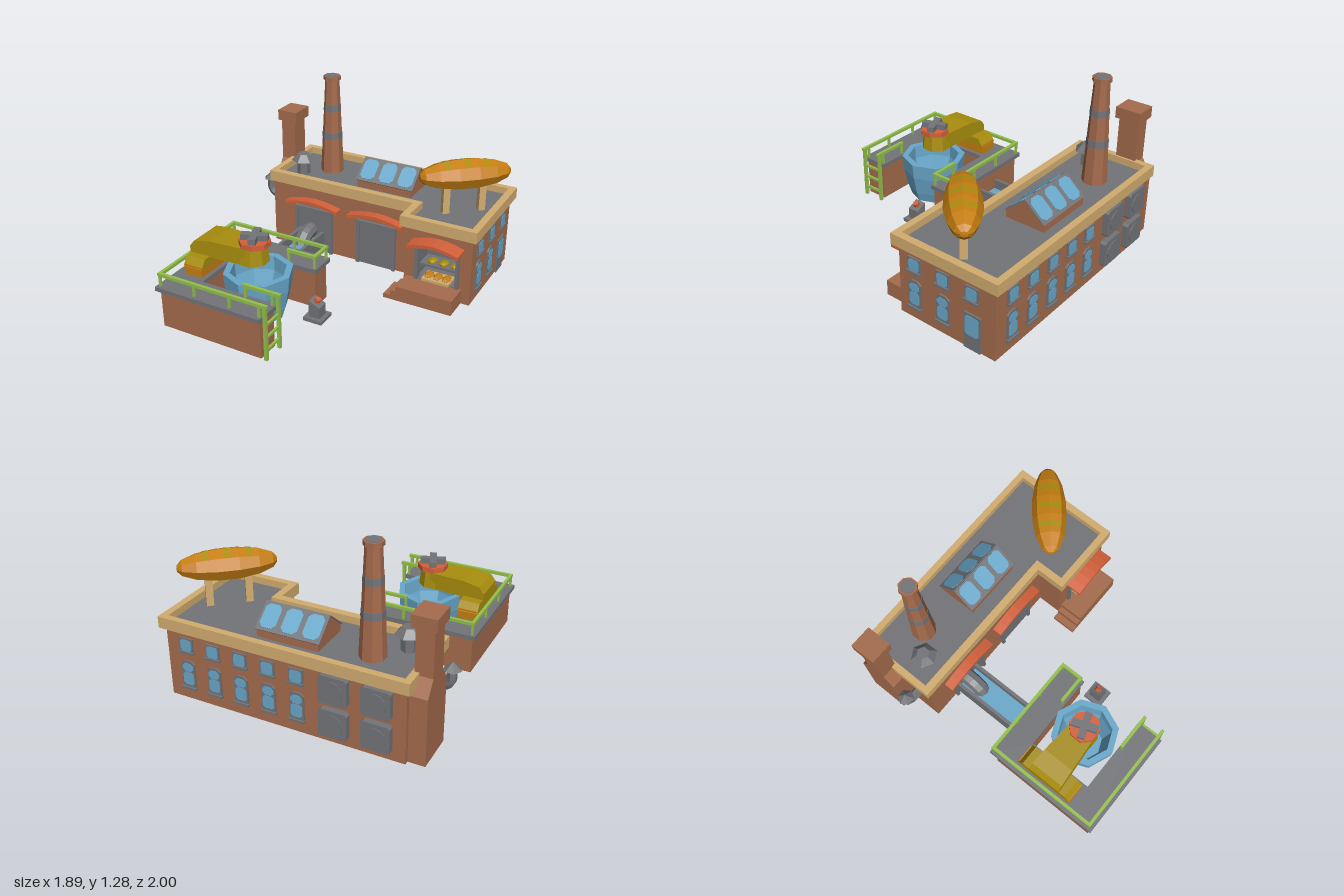
import * as THREE from 'three';

const M = {};
for (const [name, color] of Object.entries({
  brick: 0xa56b4c, grey: 0x737478, tan: 0xd3ad70, orange: 0xd4613a,
  blue: 0x69a8cb, olive: 0xa88e0e, gold: 0xc67f12, green: 0x94c04c,
})) M[name] = Object.assign(new THREE.MeshStandardMaterial({ color, flatShading: true, side: THREE.DoubleSide }), { name });

const rect = (x0, y0, x1, y1) => [[x0, y0], [x1, y0], [x1, y1], [x0, y1]];
const toShape = pts => new THREE.Shape(pts.map(p => new THREE.Vector2(...p)));

function add(parent, name, geo, mat, x = 0, y = 0, z = 0, ry = 0) {
  const m = new THREE.Mesh(geo, M[mat]);
  m.name = name;
  m.position.set(x, y, z);
  m.rotation.y = ry;
  parent.add(m);
  return m;
}
// Box given by its min and max corners
function box(parent, name, mat, x0, x1, y0, y1, z0, z1) {
  return add(parent, name, new THREE.BoxGeometry(x1 - x0, y1 - y0, z1 - z0), mat, (x0 + x1) / 2, (y0 + y1) / 2, (z0 + z1) / 2);
}
// Floor plan of [x, z] points raised from y0 to y1
function plan(parent, name, mat, pts, y0, y1, hole) {
  const flip = a => a.map(([x, z]) => [x, -z]);
  const s = toShape(flip(pts));
  if (hole) s.holes.push(toShape(flip(hole)));
  const g = new THREE.ExtrudeGeometry(s, { depth: y1 - y0, bevelEnabled: false }).rotateX(-Math.PI / 2);
  return add(parent, name, g, mat, 0, y0, 0);
}
// Hollow walls along a line of [x, z] points, open above and below
function walls(parent, name, mat, pts, y0, y1) {
  const v = [];
  for (let i = 0; i + 1 < pts.length; i++) {
    const [[a, c], [b, d]] = [pts[i], pts[i + 1]];
    v.push(a, y0, c, b, y0, d, b, y1, d, a, y0, c, b, y1, d, a, y1, c);
  }
  const g = new THREE.BufferGeometry().setAttribute('position', new THREE.Float32BufferAttribute(v, 3));
  g.computeVertexNormals();
  return add(parent, name, g, mat);
}
// Outline in xy pushed along z
function slab(parent, name, mat, pts, depth, x = 0, y = 0, z = 0) {
  return add(parent, name, new THREE.ExtrudeGeometry(toShape(pts), { depth, bevelEnabled: false }), mat, x, y, z);
}
function cyl(parent, name, mat, rTop, rBot, y0, y1, sides, x, z, ry = 0) {
  return add(parent, name, new THREE.CylinderGeometry(rTop, rBot, y1 - y0, sides), mat, x, (y0 + y1) / 2, z, ry);
}
function chamfered(w, h, c) {
  const a = w / 2, b = h / 2;
  return [[-a + c, -b], [a - c, -b], [a, -b + c], [a, b - c], [a - c, b], [-a + c, b], [-a, b - c], [-a, -b + c]];
}
function group(parent, name, x = 0, y = 0, z = 0, ry = 0) {
  const g = new THREE.Group();
  g.name = name;
  g.position.set(x, y, z);
  g.rotation.y = ry;
  parent.add(g);
  return g;
}
// Framed window facing its local +z
function windowUnit(parent, x, y, z, ry, tall) {
  const g = group(parent, tall ? 'tallWindow' : 'smallWindow', x, y, z, ry), h = tall ? 0.2 : 0.1;
  if (tall) {
    slab(g, 'frame', 'grey', [[-0.05, -0.1], [0.05, -0.1], [0.05, 0.08], [0.025, 0.1], [-0.025, 0.1], [-0.05, 0.08]], 0.012);
    slab(g, 'upperPane', 'blue', chamfered(0.08, 0.06, 0.02), 0.005, 0, 0.052, 0.01);
    slab(g, 'lowerPane', 'blue', chamfered(0.08, 0.09, 0.015), 0.005, 0, -0.03, 0.01);
  } else {
    slab(g, 'frame', 'grey', rect(-0.05, -0.05, 0.05, 0.05), 0.012);
    slab(g, 'pane', 'blue', chamfered(0.08, 0.08, 0.012), 0.005, 0, 0, 0.01);
  }
  box(g, 'sill', 'grey', -0.055, 0.055, -h / 2 - 0.008, -h / 2 + 0.008, 0, 0.024);
}
function awning(parent, x0, x1, y, z0, z1) {
  const pts = [], n = 6;
  for (let i = 0; i <= n; i++) pts.push([x0 + (x1 - x0) * i / n, y + 0.035 * Math.sin(Math.PI * i / n)]);
  const top = pts.map(([x, v]) => [x, v + 0.024]).reverse();
  slab(parent, 'awning', 'orange', [...pts, ...top], z1 - z0, 0, 0, z0);
}

function bakery(root) {
  const b = group(root, 'bakery');
  // Hollow walls, with an open shop front in the wing
  walls(b, 'walls', 'brick', [[0.4, -0.21], [0.4, -0.4], [-0.78, -0.4], [-0.78, -0.95], [0.89, -0.95], [0.89, -0.21]], 0, 0.51);
  const front = toShape(rect(0.4, 0, 0.89, 0.51));
  front.holes.push(toShape(rect(0.49, 0.11, 0.8, 0.38)));
  add(b, 'shopFront', new THREE.ShapeGeometry(front), 'brick', 0, 0, -0.21);
  // Roof and parapet
  const outer = [[-0.808, -0.985], [0.923, -0.985], [0.923, -0.174], [0.37, -0.174], [0.37, -0.388], [-0.808, -0.388]];
  const inner = [[-0.762, -0.94], [0.873, -0.94], [0.873, -0.222], [0.422, -0.222], [0.422, -0.44], [-0.762, -0.44]];
  plan(b, 'parapet', 'tan', outer, 0.5, 0.58, inner);
  plan(b, 'roof', 'grey', inner, 0.51, 0.53);
  // Shop interior and frame
  box(b, 'shopBack', 'grey', 0.49, 0.8, 0.11, 0.38, -0.42, -0.41);
  box(b, 'shopFloor', 'grey', 0.49, 0.8, 0.106, 0.116, -0.42, -0.2);
  box(b, 'shopCeiling', 'grey', 0.49, 0.8, 0.375, 0.385, -0.42, -0.2);
  for (const x of [0.49, 0.8]) box(b, 'shopSide', 'grey', x - 0.004, x + 0.004, 0.11, 0.38, -0.42, -0.2);
  box(b, 'displayHood', 'grey', 0.518, 0.787, 0.25, 0.355, -0.41, -0.33);
  box(b, 'shelf', 'grey', 0.5, 0.79, 0.195, 0.212, -0.41, -0.25);
  for (const x of [0.495, 0.795]) box(b, 'shopFrame', 'grey', x - 0.012, x + 0.012, 0.11, 0.385, -0.24, -0.19);
  box(b, 'shopLintel', 'grey', 0.49, 0.8, 0.365, 0.385, -0.24, -0.19);
  for (const x of [0.58, 0.665, 0.75]) add(b, 'shelfLoaf', new THREE.SphereGeometry(1, 8, 5), 'olive', x, 0.228, -0.29).scale.set(0.035, 0.019, 0.045);
  box(b, 'tray', 'tan', 0.55, 0.75, 0.125, 0.144, -0.29, -0.165);
  for (const x of [0.585, 0.65, 0.715]) add(b, 'trayLoaf', new THREE.SphereGeometry(1, 6, 4), 'gold', x, 0.152, -0.225).scale.set(0.032, 0.016, 0.052);
  // Porch with side steps
  slab(b, 'porch', 'brick', [[0.33, 0], [0.83, 0], [0.83, 0.11], [0.42, 0.11], [0.42, 0.07], [0.38, 0.07], [0.38, 0.03], [0.33, 0.03]], 0.18, 0, 0, -0.21);
  // Awnings and loading doors
  awning(b, -0.645, -0.21, 0.365, -0.4, -0.33);
  awning(b, -0.125, 0.312, 0.37, -0.4, -0.33);
  awning(b, 0.465, 0.833, 0.393, -0.21, -0.085);
  for (const x of [-0.43, 0.09]) {
    box(b, 'loadingDoor', 'grey', x - 0.14, x + 0.14, 0, 0.33, -0.4, -0.39);
    for (const s of [-1, 1]) box(b, 'doorPost', 'grey', x + s * 0.145 - 0.012, x + s * 0.145 + 0.012, 0, 0.35, -0.4, -0.375);
    box(b, 'doorLintel', 'grey', x - 0.155, x + 0.155, 0.325, 0.35, -0.4, -0.375);
  }
  // Side windows and door
  for (const z of [-0.337, -0.56, -0.78]) windowUnit(b, 0.89, 0.405, z, Math.PI / 2, false);
  for (const z of [-0.337, -0.56]) windowUnit(b, 0.89, 0.19, z, Math.PI / 2, true);
  const door = group(b, 'sideDoor', 0.89, 0, -0.785, Math.PI / 2);
  box(door, 'doorPanel', 'grey', -0.062, 0.062, 0, 0.26, 0, 0.012);
  slab(door, 'doorGlass', 'blue', chamfered(0.1, 0.14, 0.015), 0.005, 0, 0.175, 0.01);
  // Rear windows and fan housings
  for (const x of [0.74, 0.54, 0.34, 0.14, -0.06]) {
    windowUnit(b, x, 0.405, -0.95, Math.PI, false);
    windowUnit(b, x, 0.19, -0.95, Math.PI, true);
  }
  for (const x of [-0.32, -0.6]) for (const y of [0.155, 0.39]) {
    const f = group(b, 'fan', x, y, -0.95, Math.PI);
    slab(f, 'housing', 'grey', chamfered(0.19, 0.19, 0.015), 0.042);
    add(f, 'fanDisc', new THREE.CylinderGeometry(0.07, 0.07, 0.006, 12).rotateX(Math.PI / 2), 'grey', 0, 0, 0.045);
  }
}

function rooftop(root) {
  const r = group(root, 'rooftop');
  // Tall octagonal chimney with bands
  const x = -0.46, z = -0.73, radius = y => 0.087 - (y - 0.53) * 0.048, t = Math.PI / 8;
  cyl(r, 'tallChimney', 'brick', radius(1.25), radius(0.53), 0.53, 1.25, 8, x, z, t);
  for (const y of [0.8, 1.015]) cyl(r, 'chimneyBand', 'grey', radius(y + 0.05) + 0.002, radius(y) + 0.002, y, y + 0.05, 8, x, z, t);
  cyl(r, 'chimneyCap', 'brick', 0.064, 0.064, 1.25, 1.28, 8, x, z, t);
  cyl(r, 'chimneyMouth', 'grey', 0.05, 0.05, 1.277, 1.283, 8, x, z, t);
  // Side chimney with sloped shoulders below the roof line
  const side = slab(r, 'sideChimney', 'brick', [[0.637, 0], [0.92, 0], [0.92, 0.46], [0.85, 0.56], [0.85, 0.88], [0.705, 0.88], [0.705, 0.56], [0.637, 0.46]], 0.116, -0.893);
  side.rotation.y = Math.PI / 2;
  box(r, 'sideChimneyCap', 'brick', -0.912, -0.752, 0.87, 0.95, -0.87, -0.685);
  // Vents
  cyl(r, 'ventStem', 'grey', 0.05, 0.05, 0.53, 0.64, 6, -0.62, -0.57);
  cyl(r, 'ventHood', 'grey', 0.045, 0.092, 0.64, 0.69, 6, -0.62, -0.57);
  const path = new THREE.CatmullRomCurve3([[-0.885, 0.45], [-0.885, 0.37], [-0.86, 0.335], [-0.82, 0.33], [-0.77, 0.33]].map(([a, b]) => new THREE.Vector3(a, b, -0.53)));
  add(r, 'sidePipe', new THREE.TubeGeometry(path, 10, 0.034, 6), 'grey');
  cyl(r, 'sidePipeHood', 'grey', 0.006, 0.058, 0.445, 0.495, 6, -0.89, -0.53, Math.PI / 6);
  // Skylight: low brick gable with glazed slopes
  const s = group(r, 'skylight', 0.065, 0.53, -0.695);
  const gable = slab(s, 'skylightBody', 'brick', [[-0.145, 0], [0.145, 0], [0.145, 0.05], [0, 0.175]], 0.43, -0.215);
  gable.geometry = new THREE.ExtrudeGeometry(toShape([[-0.145, 0], [0.145, 0], [0.145, 0.05], [0, 0.175], [-0.145, 0.05]]), { depth: 0.43, bevelEnabled: false });
  gable.rotation.y = Math.PI / 2;
  for (const dir of [0, Math.PI]) {
    const slope = group(group(s, 'slope', 0, 0, 0, dir), 'panel', 0, 0.1125, 0.0725);
    slope.rotation.x = -Math.atan2(0.145, 0.125);
    box(slope, 'panelFrame', 'grey', -0.225, 0.225, -0.096, 0.096, 0, 0.007);
    for (const px of [-0.15, 0, 0.15]) slab(slope, 'skylightPane', 'blue', chamfered(0.115, 0.16, 0.025), 0.005, px, 0.004, 0.005);
  }
  // Giant scored loaf on two posts
  const loaf = group(r, 'loafSign', 0.682, 0.812, -0.54, 0.71);
  const half = [[0.2, 0.99], [0.5, 0.9], [0.82, 0.62], [1, 0.22]];
  const profile = [[0, 1], ...half, ...half.map(([a, h]) => [a, -h]).reverse(), [0, -1]];
  const lathe = (pts, ...arc) => new THREE.LatheGeometry(pts.map(p => new THREE.Vector2(...p)), ...arc).rotateZ(Math.PI / 2);
  add(loaf, 'loaf', lathe(profile, 8), 'gold').scale.set(0.325, 0.107, 0.118);
  for (const pts of [[[0.96, 0.38], [0.91, 0.49]], [[1.012, 0.06], [1.012, -0.06]], [[0.91, -0.49], [0.96, -0.38]]])
    add(loaf, 'loafScore', lathe(pts, 2, Math.PI / 4, Math.PI / 2), 'olive').scale.set(0.325, 0.107, 0.118);
  for (const px of [-0.13, 0.13]) box(loaf, 'loafPost', 'tan', px - 0.024, px + 0.024, -0.282, -0.03, -0.024, 0.024);
}

function mixingYard(root) {
  const y = group(root, 'mixingYard');
  // C-shaped platform on hollow walls
  const cee = (x0, x1, z0, z1, xi, za, zb) => [[x0, z0], [x1, z0], [x1, za], [xi, za], [xi, zb], [x1, zb], [x1, z1], [x0, z1]];
  const base = cee(-0.775, -0.015, 0.16, 0.975, -0.59, 0.31, 0.82);
  walls(y, 'platformWalls', 'brick', [...base, base[0]], 0, 0.275);
  plan(y, 'platformDeck', 'grey', cee(-0.8, 0, 0.13, 1, -0.57, 0.325, 0.8), 0.27, 0.3);
  // Railing
  const H = 0.385, t = 0.011;
  const runs = [[-0.22, 0.305, -0.02, 0.305], [-0.02, 0.15, -0.02, 0.305], [-0.775, 0.15, -0.02, 0.15], [-0.775, 0.15, -0.775, 0.97], [-0.775, 0.97, 0.03, 0.97], [-0.22, 0.82, 0.03, 0.82]];
  for (const [x0, z0, x1, z1] of runs) {
    box(y, 'handrail', 'green', x0 - t, x1 + t, H - t, H + t, z0 - t, z1 + t);
    const n = Math.max(1, Math.round(Math.hypot(x1 - x0, z1 - z0) / 0.26));
    for (let i = 0; i <= n; i++) {
      const px = Math.min(-0.02, x0 + (x1 - x0) * i / n), pz = z0 + (z1 - z0) * i / n;
      box(y, 'railPost', 'green', px - 0.008, px + 0.008, 0.3, H, pz - 0.008, pz + 0.008);
    }
  }
  // Ladder
  for (const z of [0.82, 0.97]) box(y, 'ladderSide', 'green', 0.01, 0.032, 0, H, z - t, z + t);
  for (const h of [0.07, 0.16, 0.25]) box(y, 'ladderRung', 'green', 0.013, 0.029, h - 0.008, h + 0.008, 0.82, 0.97);
  // Mixing vat
  const vat = [[0.17, 0.025], [0.195, 0.1], [0.225, 0.24], [0.235, 0.35], [0.19, 0.35], [0.185, 0.25], [0.13, 0.08], [0.13, 0.025], [0.17, 0.025]];
  add(y, 'vat', new THREE.LatheGeometry(vat.map(p => new THREE.Vector2(...p)), 8), 'blue', -0.295, 0, 0.56);
  cyl(y, 'vatFloor', 'blue', 0.132, 0.132, 0.07, 0.085, 8, -0.295, 0.56);
  // Mixer base, tapering arm and head
  box(y, 'mixerFoot', 'gold', -0.735, -0.6, 0.3, 0.375, 0.335, 0.77);
  const hood = slab(y, 'mixerBase', 'olive', [[-0.772, 0.36], [-0.333, 0.36], [-0.375, 0.42], [-0.73, 0.42]], 0.145, -0.74);
  hood.rotation.y = Math.PI / 2;
  const arm = slab(y, 'mixerArm', 'olive', [[-0.745, 0.41], [-0.33, 0.41], [-0.33, 0.53], [-0.59, 0.53], [-0.71, 0.51], [-0.745, 0.465]], 1, 0, 0, 0.56);
  const p = arm.geometry.attributes.position;
  for (let i = 0; i < p.count; i++) p.setZ(i, (p.getZ(i) - 0.5) * (0.25 - 0.15 * (p.getX(i) + 0.745)));
  cyl(y, 'mixerHead', 'olive', 0.095, 0.11, 0.41, 0.53, 8, -0.33, 0.56, Math.PI / 8);
  cyl(y, 'mixerCollar', 'orange', 0.107, 0.107, 0.53, 0.567, 8, -0.313, 0.56, Math.PI / 8);
  for (const a of [0.35, 0.35 + Math.PI / 2]) add(y, 'mixerKnob', new THREE.BoxGeometry(0.18, 0.042, 0.05), 'grey', -0.313, 0.586, 0.56, a);
  // Conveyor trough and spout
  for (const x of [-0.54, -0.355]) box(y, 'troughSide', 'grey', x - 0.012, x + 0.012, 0, 0.17, -0.4, 0.16);
  box(y, 'troughFloor', 'blue', -0.53, -0.365, 0.085, 0.1, -0.4, 0.16);
  const curve = new THREE.QuadraticBezierCurve3(new THREE.Vector3(-0.46, 0.17, -0.4), new THREE.Vector3(-0.46, 0.17, -0.27), new THREE.Vector3(-0.46, 0.1, -0.25));
  add(y, 'spout', new THREE.TubeGeometry(curve, 5, 0.058, 8), 'grey');
  // Control pedestal
  box(y, 'pedestalBase', 'grey', -0.01, 0.13, 0, 0.025, 0.345, 0.485);
  slab(y, 'pedestal', 'grey', [[0.02, 0.02], [0.1, 0.02], [0.1, 0.105], [0.02, 0.145]], 0.085, 0, 0, 0.372);
  const button = add(y, 'button', new THREE.CylinderGeometry(0.022, 0.022, 0.035, 6), 'orange', 0.064, 0.137, 0.415);
  button.rotation.z = -0.46;
}

export function createModel() {
  const root = new THREE.Group();
  root.name = 'breadFactory';
  bakery(root);
  rooftop(root);
  mixingYard(root);
  return root;
}
